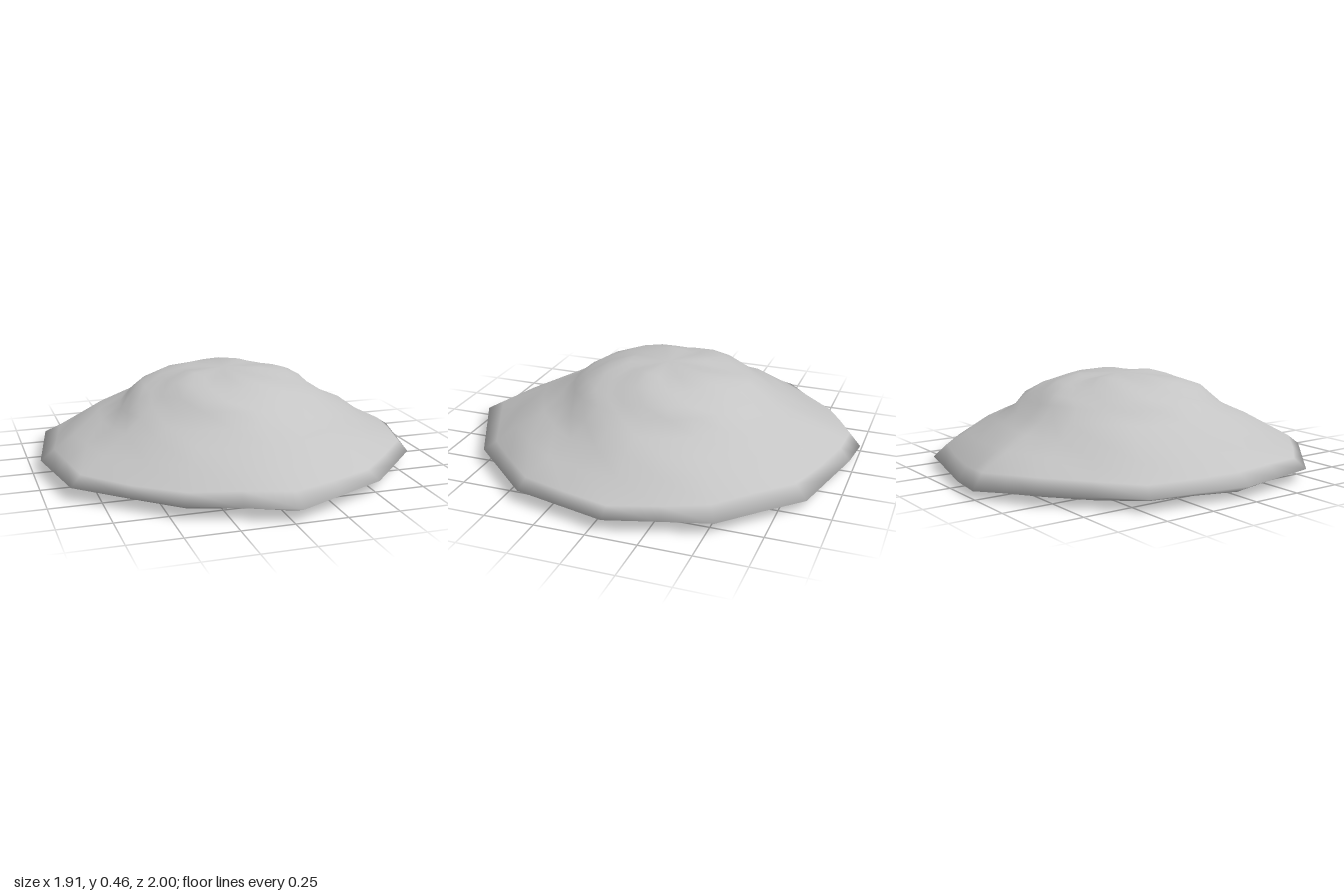
import * as THREE from 'three';

// Uneven rim outline (x, z), running from the front towards +x
const RIM = [
  [0.04, 1.0], [0.51, 0.77], [0.84, 0.41], [0.955, -0.06], [0.81, -0.54],
  [0.45, -0.87], [-0.04, -0.98], [-0.23, -1.0], [-0.49, -0.84],
  [-0.87, -0.49], [-0.96, 0.0], [-0.88, 0.43], [-0.45, 0.81],
];

// Profile from the underside centre, round the rim, up to the crown: [radius, height]
const PROFILE = [
  [0, 0.015], [0.4, 0.015], [0.72, 0.012], [0.91, 0.03], [1, 0.068],
  [0.93, 0.115], [0.8, 0.18], [0.67, 0.245], [0.56, 0.295], [0.49, 0.355],
  [0.43, 0.392], [0.33, 0.435], [0.2, 0.462], [0, 0.47],
];
const RIM_RING = 4;

// Rim outline with a midpoint on every edge
function outline() {
  return RIM.flatMap(([x, z], i) => {
    const [nx, nz] = RIM[(i + 1) % RIM.length];
    return [[x, z], [(x + nx) / 2, (z + nz) / 2]];
  });
}

function moundGeometry() {
  const rim = outline();
  const n = rim.length;
  const positions = [];
  const index = [];
  PROFILE.forEach(([r, h], i) => {
    const upper = i > RIM_RING;
    // The dome grows rounder and leans slightly back as it rises
    const round = upper ? Math.min(1, (1 - r) * 2) : 0;
    const lean = upper ? -0.04 * round : 0;
    rim.forEach(([x, z], j) => {
      const a = Math.atan2(x, z);
      const reach = THREE.MathUtils.lerp(Math.hypot(x, z), 0.98, round);
      let y = h;
      let k = r;
      if (i === RIM_RING) y -= 0.025 * Math.max(0, -z) ** 4;
      else if (r > 0) {
        // Gentle lumps on the slopes and ripples below
        y += upper ? 0.007 * Math.sin(a * 5 + i * 1.7) : 0.006 * Math.sin(a * 7 + i);
        if (upper) k *= 1 + 0.015 * Math.sin(a * 3 + i * 2.1);
      }
      positions.push(Math.sin(a) * reach * k, y, Math.cos(a) * reach * k + lean);
    });
  });
  for (let i = 0; i < PROFILE.length - 1; i++) {
    for (let j = 0; j < n; j++) {
      const a = i * n + j;
      const b = i * n + (j + 1) % n;
      if (PROFILE[i][0] > 0) index.push(a, b, a + n);
      if (PROFILE[i + 1][0] > 0) index.push(b, b + n, a + n);
    }
  }
  const geometry = new THREE.BufferGeometry();
  geometry.setAttribute('position', new THREE.Float32BufferAttribute(positions, 3));
  geometry.setIndex(index);
  geometry.computeVertexNormals();
  // Give the collapsed centre points straight vertical normals
  const normal = geometry.attributes.normal;
  for (let j = 0; j < n; j++) {
    normal.setXYZ(j, 0, -1, 0);
    normal.setXYZ((PROFILE.length - 1) * n + j, 0, 1, 0);
  }
  return geometry;
}

export function createModel() {
  const model = new THREE.Group();
  model.name = 'moundModel';
  const stone = new THREE.MeshStandardMaterial({ color: 0xc4c4c4 });
  stone.name = 'pale grey';
  const mound = new THREE.Mesh(moundGeometry(), stone);
  mound.name = 'mound';
  model.add(mound);
  return model;
}
